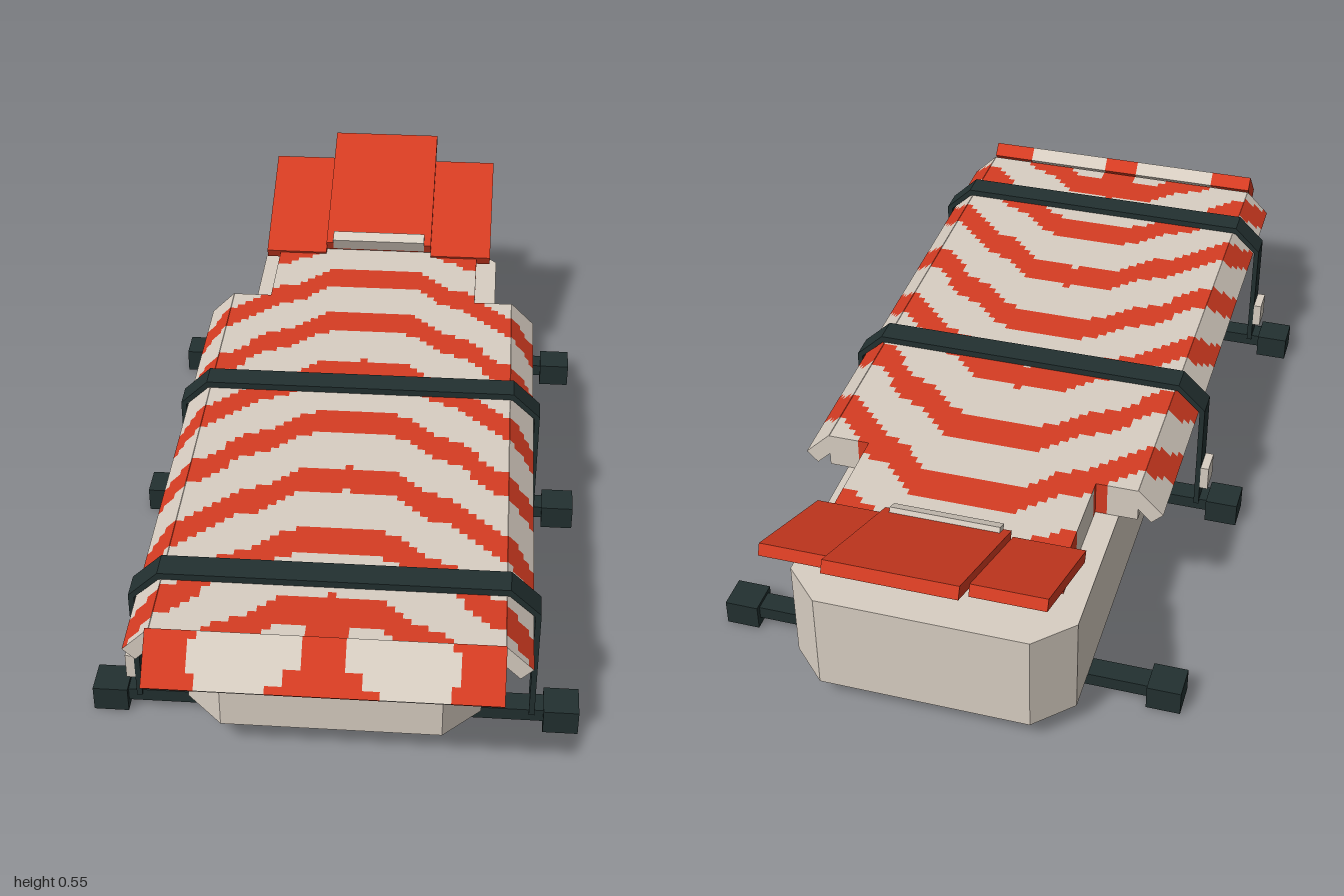
import * as THREE from 'three';

const beige = new THREE.MeshStandardMaterial({ color: 0xd8cec2, name: 'beige' });
const red = new THREE.MeshStandardMaterial({ color: 0xd63c22, name: 'red' });
const dark = new THREE.MeshStandardMaterial({ color: 0x223030, name: 'dark' });

const CELL = 0.0175;
const STRAP_Z = [0.705, -0.005];
const BAR_Z = [...STRAP_Z, -0.64];

// Arched stripes running across the blanket
function isStripe(x, y, z) {
  const ax = Math.abs(x);
  if (y < 0.286) return true;
  if (z < -0.66 || (z < -0.58 && ax > 0.22)) return true;
  if (z > 0.8 && ax < 0.04) return true;
  const drop = 0.22 * Math.pow(Math.max(0, ax - 0.05) / 0.3, 1.3) + 0.01 * Math.sin(ax * 45);
  const t = (z - drop + 0.565) / 0.22;
  return t - Math.floor(t) < 0.41;
}

// Markings on the sloping foot end, in its own frame
function isFootMark(x, y, z) {
  const ax = Math.abs(x);
  const ends = ax > (z > 0.03 ? 0.245 : z < -0.035 ? 0.245 : 0.275);
  const middle = ax < (z > 0.035 ? 0.12 : z > 0.015 ? 0.075 : 0.037);
  return ends || middle;
}

// Box cut into small square cells, each coloured by a test on its centre
function patternBox(name, size, place, test, localTest = false) {
  const segs = size.map((s) => Math.max(1, Math.round(s / CELL)));
  const geo = new THREE.BoxGeometry(...size, ...segs).toNonIndexed();
  if (!localTest) geo.applyMatrix4(place);
  const p = geo.attributes.position, n = geo.attributes.normal;
  const sets = [[], []];
  for (let i = 0; i < p.count; i += 6) {
    const c = [0, 0, 0];
    for (let k = i; k < i + 6; k++) {
      c[0] += p.getX(k) / 6;
      c[1] += p.getY(k) / 6;
      c[2] += p.getZ(k) / 6;
    }
    sets[test(...c) ? 1 : 0].push(i);
  }
  const out = new THREE.BufferGeometry();
  const pos = [], nor = [];
  sets.forEach((quads, m) => {
    out.addGroup(pos.length / 3, quads.length * 6, m);
    for (const i of quads) {
      for (let k = i; k < i + 6; k++) {
        pos.push(p.getX(k), p.getY(k), p.getZ(k));
        nor.push(n.getX(k), n.getY(k), n.getZ(k));
      }
    }
  });
  out.setAttribute('position', new THREE.Float32BufferAttribute(pos, 3));
  out.setAttribute('normal', new THREE.Float32BufferAttribute(nor, 3));
  if (localTest) out.applyMatrix4(place);
  const mesh = new THREE.Mesh(out, [beige, red]);
  mesh.name = name;
  return mesh;
}

function place(x, y, z, rx = 0, rz = 0) {
  return new THREE.Matrix4().makeRotationFromEuler(new THREE.Euler(rx, 0, rz)).setPosition(x, y, z);
}

function box(name, mat, w, h, d, x, y, z, rx = 0) {
  const mesh = new THREE.Mesh(new THREE.BoxGeometry(w, h, d), mat);
  mesh.name = name;
  mesh.position.set(x, y, z);
  mesh.rotation.x = rx;
  return mesh;
}

function outline(points) {
  return new THREE.Shape(points.map(([x, y]) => new THREE.Vector2(x, y)));
}

export function createModel() {
  const model = new THREE.Group();
  model.name = 'strappedBed';

  // Base with chamfered corners
  const w = 0.313, l = 0.83, c = 0.08;
  const baseGeo = new THREE.ExtrudeGeometry(outline([
    [w - c, -l], [w, c - l], [w, l - c], [w - c, l],
    [c - w, l], [-w, l - c], [-w, c - l], [c - w, -l],
  ]), { depth: 0.235, bevelEnabled: false });
  baseGeo.rotateX(-Math.PI / 2).translate(0, 0.05, -0.01);
  const base = new THREE.Mesh(baseGeo, beige);
  base.name = 'base';
  model.add(base);

  // Striped blanket: wide body, narrow head end, sloping foot and sides
  model.add(
    patternBox('blanketBody', [0.71, 0.08, 1.3], place(0, 0.325, 0.24), isStripe),
    patternBox('blanketHeadEnd', [0.52, 0.08, 0.27], place(0, 0.325, -0.545), isStripe),
    patternBox('blanketFootFlap', [0.71, 0.036, 0.117], place(0, 0.34, 0.9475, Math.PI / 4), isFootMark, true),
  );
  for (const s of [1, -1]) {
    model.add(patternBox('blanketSideFlap', [0.08, 0.036, 1.3],
      place(s * 0.37, 0.325, 0.24, 0, -s * Math.PI / 4), isStripe));
  }

  // Raised headrest panels
  const tilt = 0.417;
  model.add(box('headrestCentre', red, 0.276, 0.028, 0.377, 0, 0.459, -0.818, tilt));
  for (const s of [1, -1]) {
    model.add(box('headrestSide', red, 0.157, 0.026, 0.322, s * 0.2165, 0.424, -0.783, tilt));
  }
  model.add(box('headrestTrim', beige, 0.24, 0.035, 0.03, 0, 0.396, -0.655, tilt));

  // Cross bars with feet
  for (const z of BAR_Z) {
    model.add(box('crossBar', dark, 0.9, 0.03, 0.05, 0, 0.035, z));
    for (const s of [1, -1]) {
      model.add(box('foot', dark, 0.075, 0.058, 0.076, s * 0.4825, 0.029, z));
    }
  }

  // Straps over the blanket, each with a buckle on the right side
  const outer = [[0.426, 0.04], [0.426, 0.318], [0.362, 0.38]];
  const inner = [[0.414, 0.04], [0.414, 0.313], [0.36, 0.364]];
  const flip = (pts) => pts.map(([x, y]) => [-x, y]);
  const strapShape = outline([
    ...outer, ...flip(outer).reverse(), ...flip(inner), ...[...inner].reverse(),
  ]);
  for (const z of STRAP_Z) {
    const geo = new THREE.ExtrudeGeometry(strapShape, { depth: 0.06, bevelEnabled: false });
    const strap = new THREE.Mesh(geo, dark);
    strap.name = 'strap';
    strap.position.z = z - 0.03;
    model.add(strap, box('buckle', beige, 0.02, 0.06, 0.06, -0.435, 0.12, z));
  }
  return model;
}
